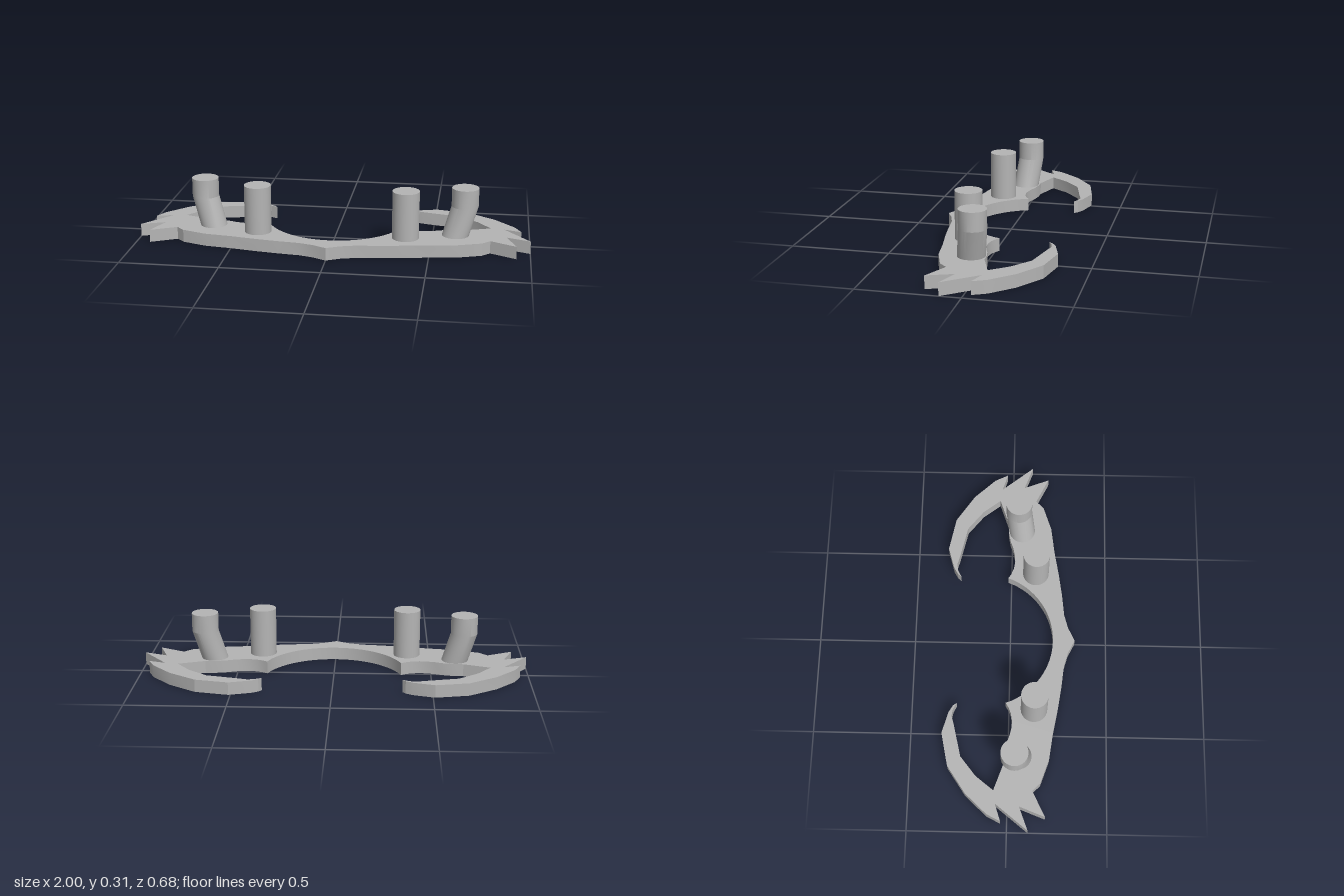
import * as THREE from 'three';
import { toCreasedNormals } from 'three/addons/utils/BufferGeometryUtils.js';

const PLATE_TOP = 0.065, POST_TOP = 0.31, RADIUS = 0.068;

// Outline of the left half of the plate as [x, z], from the front point round to the inner cusp
const HALF = [
  [0, 0.335], [0.07, 0.3], [0.14, 0.28], [0.25, 0.268], [0.37, 0.25], [0.5, 0.226], [0.635, 0.208],
  [0.76, 0.165], [0.8, 0.125],
  [0.93, 0.19], [0.88, 0.06], [1, 0.105], [0.868, -0.06], [0.955, -0.032], // side spikes
  [0.922, -0.1], [0.82, -0.21], [0.68, -0.305], [0.51, -0.34], [0.4, -0.308], // hooked horn
  [0.365, -0.287], [0.35, -0.268], [0.385, -0.286], [0.42, -0.292], [0.46, -0.28], [0.63, -0.24],
  [0.73, -0.16], [0.8, -0.07],
  [0.665, -0.022], [0.61, -0.02], [0.56, -0.01], [0.52, 0.005], [0.48, 0.014], [0.44, 0.017], // shallow scoop
  [0.4, 0.01], [0.37, -0.002], [0.345, -0.018],
];

function makePlate() {
  // Round central cut-out, from the left cusp to the right cusp
  const cut = [], r = 0.3696, cz = -0.148, a = Math.asin(0.345 / r);
  for (let i = 1; i < 32; i++) {
    const t = a * (1 - i / 16);
    cut.push([r * Math.sin(t), cz + r * Math.cos(t)]);
  }
  const mirrored = HALF.slice(1).reverse().map(([x, z]) => [-x, z]);
  const shape = new THREE.Shape([...HALF, ...cut, ...mirrored].map(([x, z]) => new THREE.Vector2(x, -z)));
  const geo = new THREE.ExtrudeGeometry(shape, { depth: PLATE_TOP, bevelEnabled: false });
  geo.rotateX(-Math.PI / 2);
  return toCreasedNormals(geo, 0.3);
}

// Post that leans from its base to the bend and then stands upright
function makeBentPost(side) {
  const geo = new THREE.CylinderGeometry(RADIUS, RADIUS, 2, 40, 2);
  const rows = [ // [y, x, z] at base, bend and top
    [PLATE_TOP - 0.005, 0.622, 0.052], [0.215, 0.667, 0.033], [POST_TOP, 0.667, 0.033],
  ];
  const p = geo.attributes.position;
  for (let i = 0; i < p.count; i++) {
    const [y, x, z] = rows[Math.round(p.getY(i)) + 1];
    p.setXYZ(i, p.getX(i) + side * x, y, p.getZ(i) + z);
  }
  return toCreasedNormals(geo, 0.25);
}

export function createModel() {
  const model = new THREE.Group();
  const grey = new THREE.MeshStandardMaterial({ color: 0xb4b4b4 });
  grey.name = 'grey';

  const add = (name, geo) => {
    const mesh = new THREE.Mesh(geo, grey);
    mesh.name = name;
    model.add(mesh);
    return mesh;
  };

  add('hornedPlate', makePlate());

  for (const [label, side] of [['left', 1], ['right', -1]]) {
    const height = POST_TOP - PLATE_TOP + 0.005;
    add(label + 'StraightPost', new THREE.CylinderGeometry(RADIUS, RADIUS, height, 40))
      .position.set(side * 0.376, POST_TOP - height / 2, 0.128);
    add(label + 'BentPost', makeBentPost(side));
  }
  return model;
}
